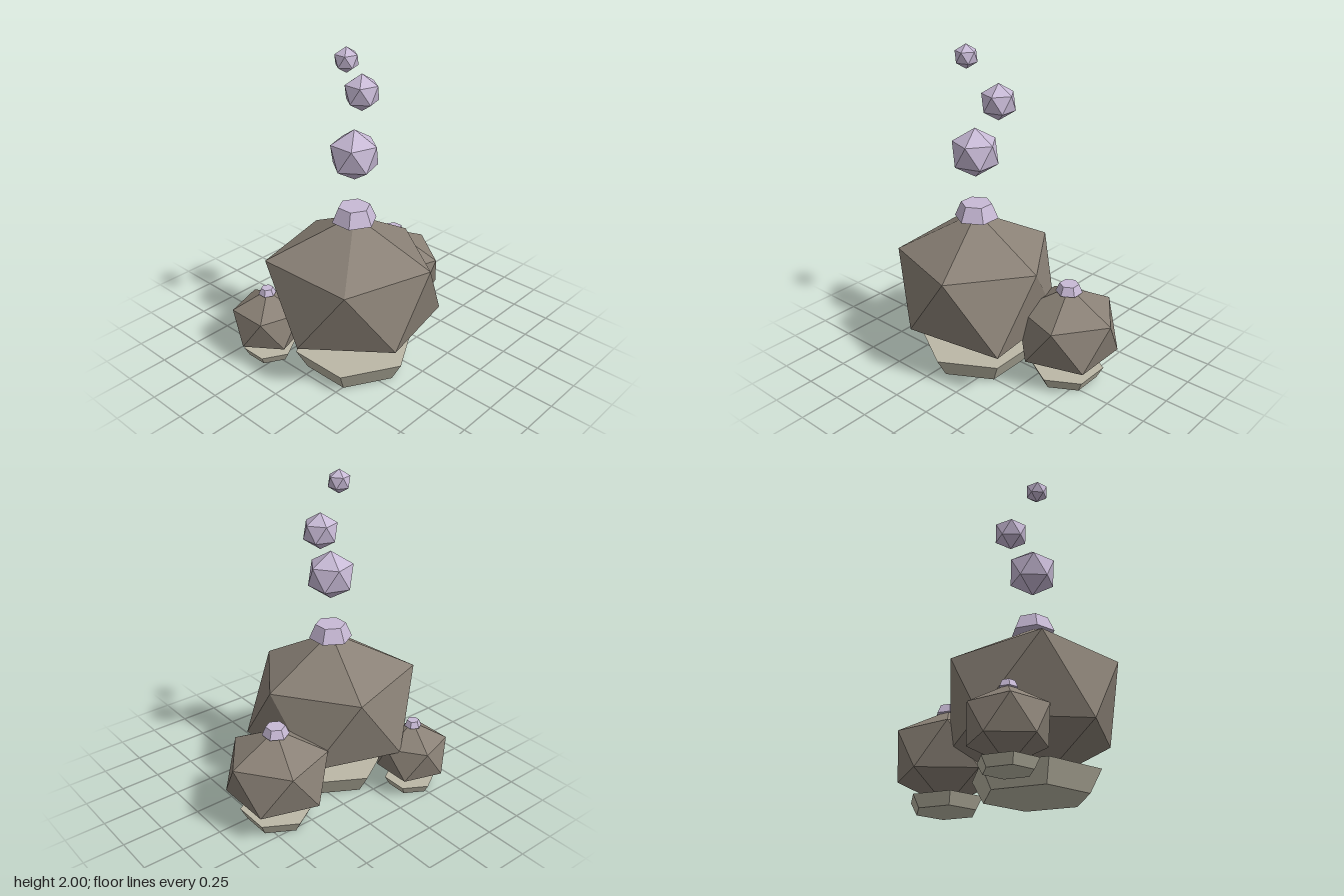
import * as THREE from 'three';

const material = (name, color) => {
  const m = new THREE.MeshStandardMaterial({ color });
  m.name = name;
  return m;
};

// Faceted geometry: separate corners so every face keeps its own normal
function facet(geometry) {
  const flat = geometry.index ? geometry.toNonIndexed() : geometry;
  flat.computeVertexNormals();
  return flat;
}

// Twenty-sided stone standing on a corner: two five-sided rings between two tips.
// ring = ring radius, half = ring height above/below centre, nudge = small offsets per ring corner
function stoneGeometry(ring, half, nudge = []) {
  const corner = (i, y, shift, n) => {
    const a = (i + shift) * Math.PI * 0.4;
    const [dx, dy, dz] = nudge[n] || [0, 0, 0];
    return [Math.cos(a) * ring + dx, y + dy, Math.sin(a) * ring + dz];
  };
  const tip = half * Math.sqrt(5);
  const top = [0, tip, 0], bottom = [0, -tip, 0];
  const up = [], low = [];
  for (let i = 0; i < 5; i++) {
    up.push(corner(i, half, 0, i));
    low.push(corner(i, -half, 0.5, i + 5));
  }
  const points = [];
  for (let i = 0; i < 5; i++) {
    const j = (i + 1) % 5;
    points.push(
      ...top, ...up[j], ...up[i],
      ...up[i], ...up[j], ...low[i],
      ...low[i], ...up[j], ...low[j],
      ...low[i], ...low[j], ...bottom
    );
  }
  const g = new THREE.BufferGeometry();
  g.setAttribute('position', new THREE.Float32BufferAttribute(points, 3));
  return facet(g);
}

export function createModel() {
  const rock = material('brown rock', 0x8a8176);
  const base = material('pale stone', 0xbcb8a6);
  const lilac = material('lilac vapour', 0xc8bad6);

  const model = new THREE.Group();
  model.name = 'ventingRocks';

  const add = (parent, name, geometry, mat, x, y, z) => {
    const mesh = new THREE.Mesh(geometry, mat);
    mesh.name = name;
    mesh.position.set(x, y, z);
    parent.add(mesh);
  };
  const hexagon = (rTop, rBottom, h) => facet(new THREE.CylinderGeometry(rTop, rBottom, h, 6));

  // Slight irregularity of the large boulder's ring corners
  const largeNudge = [
    [-0.01, -0.01, 0], [0, 0, 0], [-0.005, 0, 0.01], [-0.04, 0.02, -0.025], [0.005, 0, -0.02],
    [0.05, -0.015, 0.03], [0.005, 0.015, -0.005], [-0.005, 0.005, 0], [0, 0.005, -0.05], [0, -0.015, -0.015],
  ];

  // Boulders, each on a hexagonal foot and topped by a hexagonal vent
  const boulders = [
    { name: 'largeBoulder', x: -0.178, z: 0.103, y: 0.53, ring: 0.475, half: 0.21, nudge: largeNudge,
      foot: [0.372, 0.303, 0.125], vent: [0.094, 0.133, 0.09, 0.97] },
    { name: 'mediumBoulder', x: 0.385, z: -0.085, y: 0.325, ring: 0.305, half: 0.129,
      foot: [0.226, 0.186, 0.073], vent: [0.058, 0.081, 0.053, 0.584] },
    { name: 'smallBoulder', x: -0.487, z: -0.336, y: 0.24, ring: 0.215, half: 0.094,
      foot: [0.164, 0.134, 0.055], vent: [0.037, 0.054, 0.038, 0.43] },
  ];
  for (const b of boulders) {
    const group = new THREE.Group();
    group.name = b.name;
    group.position.set(b.x, 0, b.z);
    model.add(group);
    const [footTop, footBottom, footHeight] = b.foot;
    const [ventTop, ventBottom, ventHeight, ventY] = b.vent;
    add(group, 'stone', stoneGeometry(b.ring, b.half, b.nudge), rock, 0, b.y, 0);
    add(group, 'foot', hexagon(footTop, footBottom, footHeight), base, 0, footHeight / 2, 0);
    add(group, 'vent', hexagon(ventTop, ventBottom, ventHeight), lilac, 0, ventY + ventHeight / 2, 0);
  }

  // Vapour puffs rising from the large vent: x, y, z, radius
  const puffs = [
    [-0.178, 1.376, 0.106, 0.15],
    [-0.05, 1.69, 0.045, 0.108],
    [-0.235, 1.93, 0.106, 0.071],
  ];
  puffs.forEach(([x, y, z, r], i) => {
    add(model, 'vapourPuff' + (i + 1), stoneGeometry(r * 0.9, r / Math.sqrt(5)), lilac, x, y, z);
  });

  return model;
}
